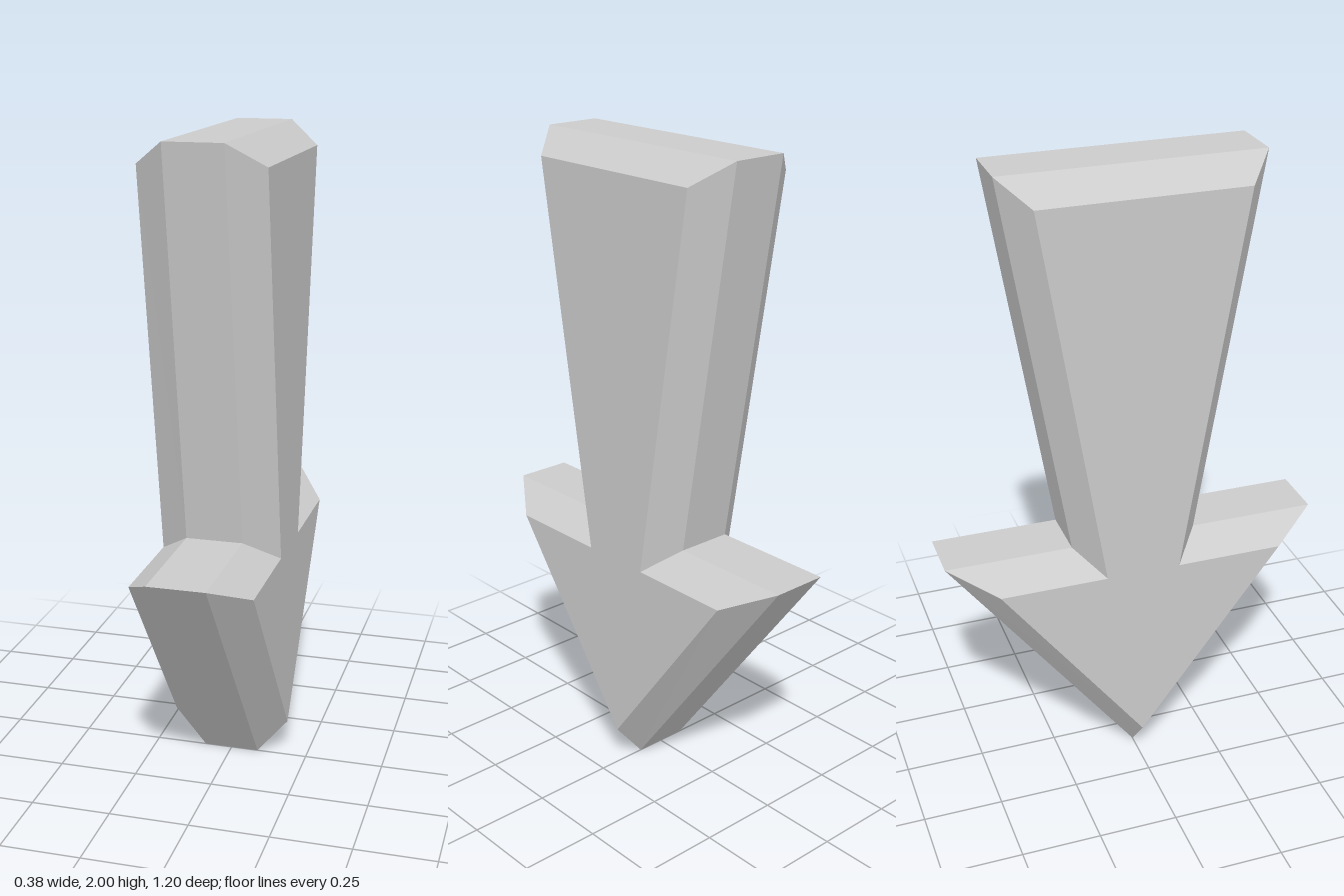
import * as THREE from 'three';

// Outline of the arrow as seen from the +x side: [-z, y], counter-clockwise
const outer = [[0, 0], [0.6, 0.8], [0.2, 0.8], [0.4, 2], [-0.4, 2], [-0.2, 0.8], [-0.6, 0.8]];
// Same outline moved inwards, for the flat faces beyond the chamfer
const inner = [[0, 0.12], [0.455, 0.73], [0.117, 0.73], [0.316, 1.93], [-0.316, 1.93], [-0.117, 0.73], [-0.455, 0.73]];

// Joins outlines [x, points] along x and caps both ends, with separate corners for crisp edges
function loft(sections) {
  const pos = [];
  const tri = (...corners) => corners.forEach(([x, [u, y]]) => pos.push(x, y, -u));
  const n = sections[0][1].length;
  for (let i = 0; i < sections.length - 1; i++) {
    const [xa, pa] = sections[i], [xb, pb] = sections[i + 1];
    for (let j = 0; j < n; j++) {
      const k = (j + 1) % n;
      tri([xa, pa[j]], [xa, pa[k]], [xb, pb[k]]);
      tri([xa, pa[j]], [xb, pb[k]], [xb, pb[j]]);
    }
  }
  // End caps
  const [x0, p0] = sections[0], [x1, p1] = sections[sections.length - 1];
  const faces = THREE.ShapeUtils.triangulateShape(p1.map(([u, y]) => new THREE.Vector2(u, y)), []);
  for (const [a, b, c] of faces) {
    tri([x1, p1[a]], [x1, p1[b]], [x1, p1[c]]);
    tri([x0, p0[c]], [x0, p0[b]], [x0, p0[a]]);
  }
  const geometry = new THREE.BufferGeometry();
  geometry.setAttribute('position', new THREE.Float32BufferAttribute(pos, 3));
  geometry.computeVertexNormals();
  return geometry;
}

export function createModel() {
  const group = new THREE.Group();
  group.name = 'downArrow';
  const arrow = new THREE.Mesh(
    loft([[-0.188, inner], [-0.088, outer], [0.088, outer], [0.188, inner]]),
    new THREE.MeshStandardMaterial({ color: 0xcccccc })
  );
  arrow.name = 'chamferedArrow';
  group.add(arrow);
  return group;
}
